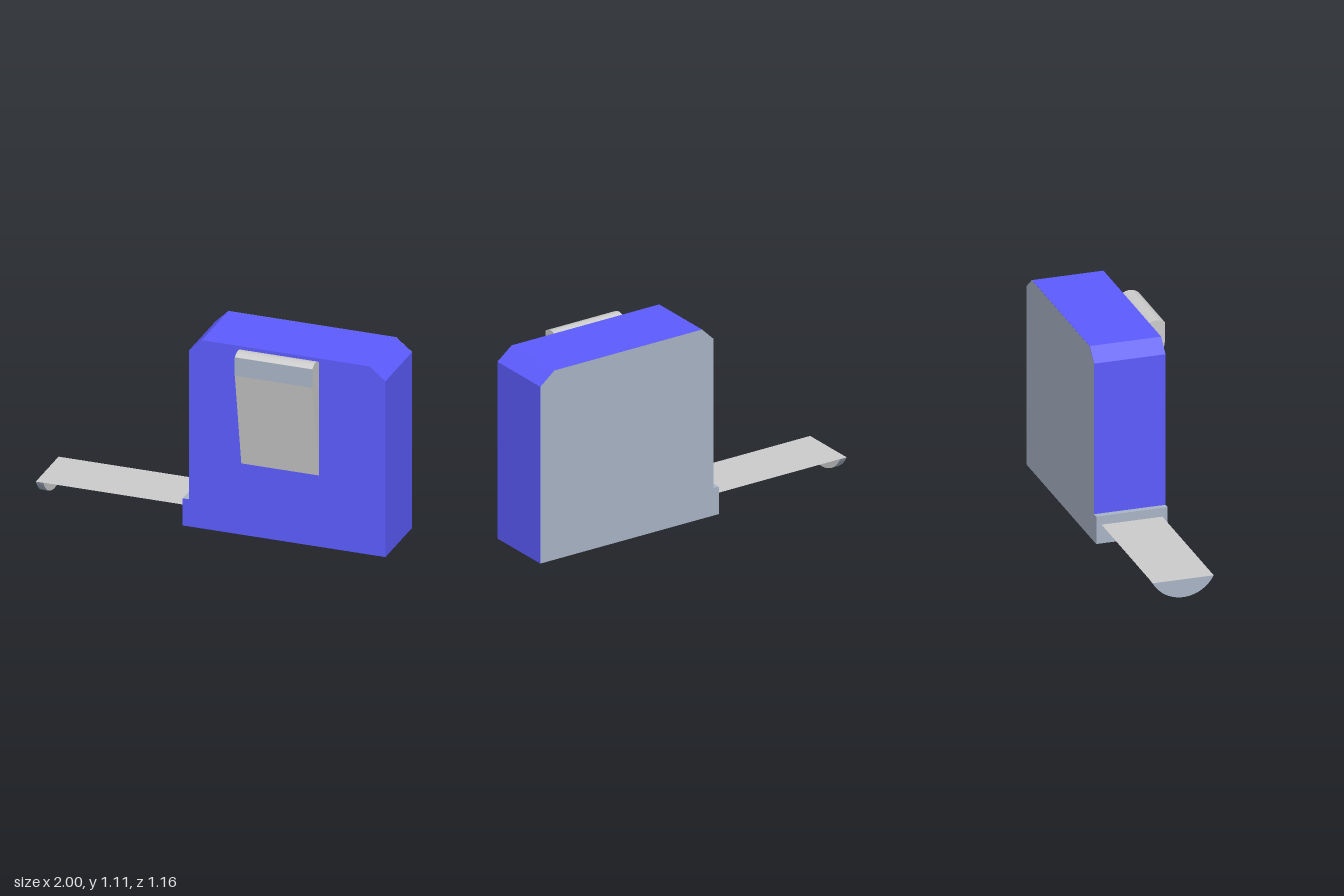
import * as THREE from 'three';

const mat = (color) => new THREE.MeshStandardMaterial({ color, side: THREE.DoubleSide });
const blue = mat(0x5c5cff), steel = mat(0xa8b4c6), grey = mat(0xcccccc);

export function createModel() {
  const model = new THREE.Group();
  model.name = 'tapeMeasure';

  const add = (name, geometry, material, x = 0, y = 0, z = 0) => {
    const mesh = new THREE.Mesh(geometry, material);
    mesh.name = name;
    mesh.position.set(x, y, z);
    model.add(mesh);
    return mesh;
  };
  const outline = (points) => new THREE.Shape(points.map(([x, y]) => new THREE.Vector2(x, y)));
  // Extrudes a (z, y) side profile along x, from x1 down to x1 - width
  const sideExtrude = (shape, x1, width) =>
    new THREE.ExtrudeGeometry(shape, { depth: width, bevelEnabled: false, curveSegments: 24 })
      .rotateY(-Math.PI / 2).translate(x1, 0, 0);

  const back = -0.213, front = 0.192, depth = front - back, midZ = (front + back) / 2;
  const left = -0.134, right = 0.994, lipEnd = -0.169, lipTop = 0.16;

  // Case with chamfered upper corners
  const upper = [[right, 1.037], [0.902, 1.11], [-0.06, 1.11], [left, 1.037]];
  add('case', new THREE.ExtrudeGeometry(outline([[left, 0], [right, 0], ...upper]),
    { depth, bevelEnabled: false }), blue, 0, 0, back);

  // Lip at the tape slot: steel on the outside, blue in front and below
  add('slotLip', new THREE.BoxGeometry(left - lipEnd, lipTop, depth),
    [steel, steel, steel, blue, blue, steel], (left + lipEnd) / 2, lipTop / 2, midZ);

  // Back cover, facing -z
  add('backCover', new THREE.ShapeGeometry(
    outline([[lipEnd, 0], [right, 0], ...upper, [left, lipTop], [lipEnd, lipTop]])),
    steel, 0, 0, back - 0.001);

  // Belt clip: wedge with a rounded top
  const clip = outline([[front, 0.42], [0.291, 0.98], [0.291, 1.088]]);
  clip.quadraticCurveTo((front + 0.291) / 2, 1.126, front, 1.088);
  add('beltClip', sideExtrude(clip, 0.612, 0.445), grey);
  add('clipBand', new THREE.PlaneGeometry(0.445, 0.108), steel, 0.3895, 1.034, 0.292);

  // Tape blade
  const tip = -1.023, tapeY = 0.108, tapeWidth = 0.345;
  add('tapeBlade', new THREE.PlaneGeometry(lipEnd - tip, tapeWidth).rotateX(-Math.PI / 2),
    grey, (lipEnd + tip) / 2, tapeY + 0.001, midZ);

  // End hook: a circular segment below the tip of the blade
  const half = tapeWidth / 2, drop = 0.103;
  const radius = (half * half + drop * drop) / (2 * drop);
  const spread = Math.asin(half / radius);
  const hook = new THREE.Shape();
  hook.absarc(midZ, tapeY - drop + radius, radius, -Math.PI / 2 - spread, -Math.PI / 2 + spread, false);
  add('endHook', sideExtrude(hook, tip + 0.042, 0.042), steel);
  add('hookInnerFace', new THREE.ShapeGeometry(hook, 24).rotateY(-Math.PI / 2), grey, tip + 0.043);

  // The whole tool stands turned on the ground
  model.rotation.y = THREE.MathUtils.degToRad(-24);
  const root = new THREE.Group();
  root.add(model);
  return root;
}
